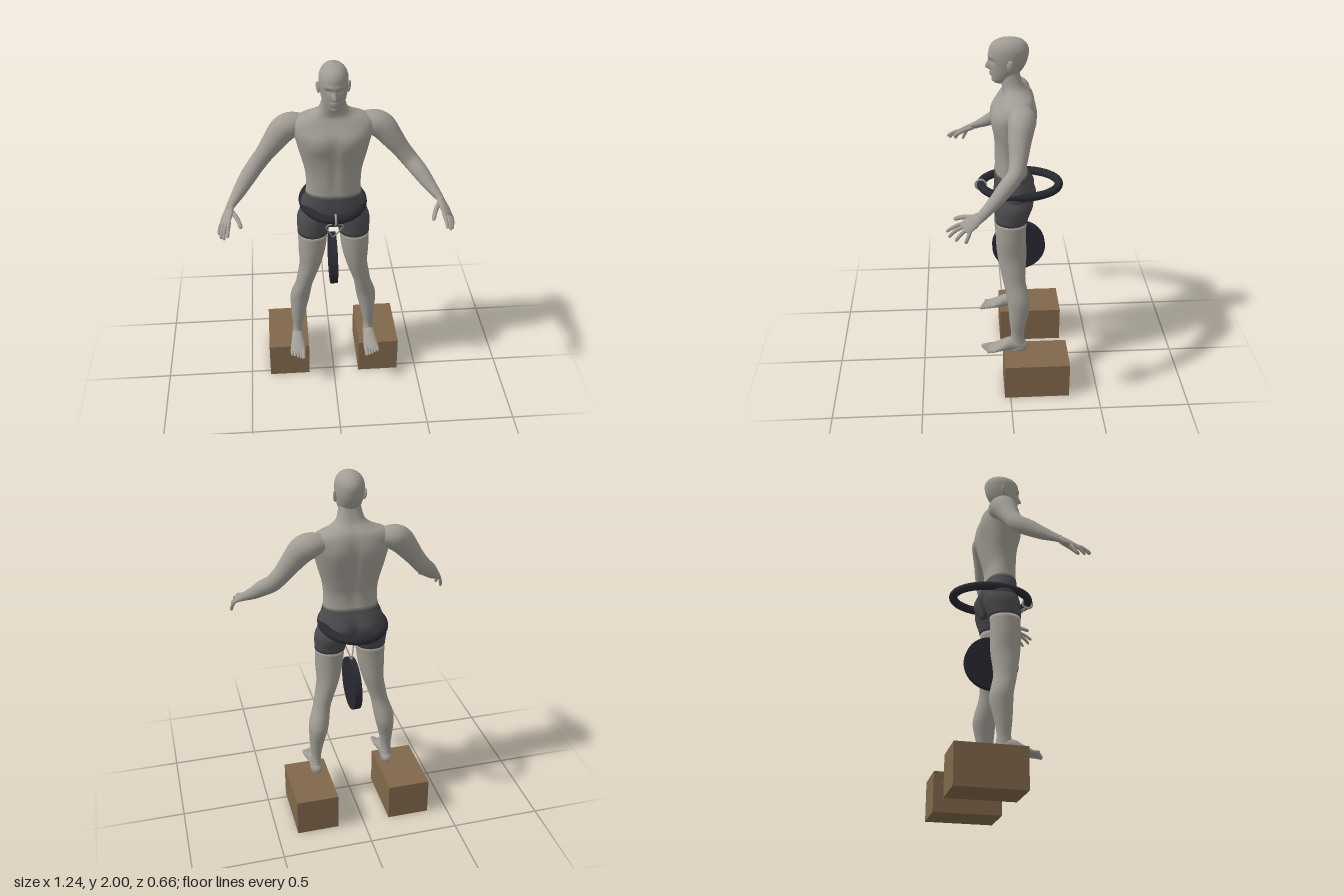
import * as THREE from 'three';

const mat = (name, color) => {
  const m = new THREE.MeshStandardMaterial({ color });
  m.name = name;
  return m;
};
const V = (x, y, z) => new THREE.Vector3(x, y, z);
const bump = (d, w) => Math.exp(-(d * d) / (w * w));

// Smooth closed loft through rows of [x, y, z, halfWidthA, halfWidthB].
// ref is the direction of B; axis fixes the ring plane (otherwise it follows the path).
function loft(rows, { ref = V(0, 0, 1), axis, from = 0, to = rows.length - 1, seg = 24, sub = 5, pow = 1, warp, grow = 0 } = {}) {
  const last = rows.length - 1;
  const sample = (t) => {
    const i = Math.min(Math.floor(t), last - 1), f = t - i;
    const [p, q, r, s] = [-1, 0, 1, 2].map((k) => rows[Math.min(last, Math.max(0, i + k))]);
    return q.map((_, k) => q[k] + 0.5 * f * (r[k] - p[k] + f * (2 * p[k] - 5 * q[k] + 4 * r[k] - s[k] + f * (3 * (q[k] - r[k]) + s[k] - p[k]))));
  };
  const round = (c) => Math.sign(c) * Math.abs(c) ** pow;
  const n = (to - from) * sub, pos = [], idx = [];
  for (let i = 0; i <= n; i++) {
    const t = from + i / sub, c = sample(t);
    const lo = sample(Math.max(0, t - 0.1)), hi = sample(Math.min(last, t + 0.1));
    const dir = axis || V(hi[0] - lo[0], hi[1] - lo[1], hi[2] - lo[2]).normalize();
    const side = ref.clone().cross(dir).normalize(), up = dir.clone().cross(side);
    for (let j = 0; j < seg; j++) {
      const a = (j / seg) * Math.PI * 2;
      const v = V(c[0], c[1], c[2])
        .addScaledVector(side, round(Math.cos(a)) * (c[3] + grow))
        .addScaledVector(up, round(Math.sin(a)) * (c[4] + grow));
      if (warp) warp(v);
      pos.push(v.x, v.y, v.z);
      if (i < n) {
        const p = i * seg + j, q = i * seg + ((j + 1) % seg);
        idx.push(p, q, p + seg, q, q + seg, p + seg);
      }
    }
  }
  // end caps
  const c0 = sample(from), c1 = sample(to), k = pos.length / 3;
  pos.push(c0[0], c0[1], c0[2], c1[0], c1[1], c1[2]);
  for (let j = 0; j < seg; j++) {
    const j2 = (j + 1) % seg;
    idx.push(k, j2, j, k + 1, n * seg + j, n * seg + j2);
  }
  const g = new THREE.BufferGeometry();
  g.setAttribute('position', new THREE.Float32BufferAttribute(pos, 3));
  g.setIndex(idx);
  g.computeVertexNormals();
  return g;
}

// Tapered digit with a rounded tip, from points and a radius
function digit(pts, r, s) {
  const c = new THREE.CatmullRomCurve3(pts.map((p) => V(p[0] * s, p[1], p[2])));
  const rows = [[0, 1], [0.35, 1], [0.65, 0.9], [0.88, 0.85], [0.97, 0.55], [1, 0.1]].map(([t, k]) => [...c.getPoint(t).toArray(), r * k, r * k]);
  return loft(rows, { ref: V(0, 1, 0.3).normalize(), seg: 10, sub: 3 });
}

const TORSO = [
  [0, 1.07, -0.035, 0.11, 0.08], [0, 1.12, -0.037, 0.17, 0.1], [0, 1.17, -0.038, 0.18, 0.106],
  [0, 1.22, -0.03, 0.166, 0.098], [0, 1.265, -0.022, 0.15, 0.087], [0, 1.35, -0.02, 0.147, 0.082],
  [0, 1.42, -0.025, 0.156, 0.09], [0, 1.5, -0.03, 0.178, 0.103], [0, 1.57, -0.034, 0.195, 0.112],
  [0, 1.62, -0.037, 0.208, 0.112], [0, 1.67, -0.047, 0.212, 0.094], [0, 1.7, -0.05, 0.175, 0.08],
  [0, 1.72, -0.045, 0.12, 0.069], [0, 1.75, -0.03, 0.077, 0.058], [0, 1.8, -0.016, 0.06, 0.053],
  [0, 1.84, -0.01, 0.055, 0.05],
];
const LEG = [
  [0.09, 1.16, -0.037, 0.08, 0.095], [0.105, 1.1, -0.032, 0.092, 0.1], [0.114, 1.01, -0.017, 0.082, 0.085],
  [0.121, 0.9, -0.015, 0.075, 0.083], [0.131, 0.8, -0.02, 0.061, 0.08], [0.155, 0.7, -0.026, 0.052, 0.067],
  [0.17, 0.64, -0.033, 0.049, 0.062], [0.189, 0.56, -0.052, 0.056, 0.062], [0.197, 0.5, -0.058, 0.053, 0.062],
  [0.207, 0.4, -0.05, 0.039, 0.047], [0.211, 0.32, -0.048, 0.028, 0.037], [0.212, 0.27, -0.046, 0.031, 0.046],
  [0.214, 0.235, -0.05, 0.034, 0.054], [0.214, 0.216, -0.05, 0.031, 0.05],
];
const ARM = [
  [0.14, 1.655, -0.065, 0.04, 0.05], [0.21, 1.645, -0.065, 0.064, 0.07], [0.26, 1.62, -0.056, 0.07, 0.067],
  [0.31, 1.56, -0.045, 0.06, 0.057], [0.36, 1.495, -0.036, 0.049, 0.047], [0.41, 1.435, -0.018, 0.046, 0.041],
  [0.455, 1.39, 0.03, 0.043, 0.041], [0.5, 1.34, 0.085, 0.034, 0.034], [0.545, 1.295, 0.145, 0.021, 0.026],
  [0.556, 1.282, 0.165, 0.018, 0.026],
];
const PALM = [
  [0.546, 1.294, 0.147, 0.016, 0.022], [0.556, 1.279, 0.175, 0.017, 0.031], [0.567, 1.261, 0.205, 0.015, 0.038],
  [0.577, 1.243, 0.235, 0.011, 0.037], [0.58, 1.238, 0.243, 0.005, 0.03],
];
const FINGERS = [
  [[0.553, 1.256, 0.243], [0.559, 1.24, 0.29], [0.562, 1.216, 0.327]],
  [[0.568, 1.248, 0.236], [0.579, 1.228, 0.285], [0.582, 1.196, 0.315]],
  [[0.581, 1.24, 0.224], [0.594, 1.216, 0.257], [0.598, 1.182, 0.283]],
  [[0.594, 1.232, 0.21], [0.606, 1.205, 0.222], [0.61, 1.174, 0.235]],
  [[0.54, 1.276, 0.175], [0.511, 1.268, 0.235], [0.492, 1.245, 0.29]],
];
const FOOT = [
  [0.212, 0.236, -0.105, 0.012, 0.012], [0.212, 0.242, -0.09, 0.026, 0.026], [0.213, 0.252, -0.05, 0.034, 0.036],
  [0.215, 0.257, 0, 0.036, 0.04], [0.216, 0.243, 0.05, 0.042, 0.027], [0.218, 0.231, 0.095, 0.045, 0.015],
  [0.22, 0.227, 0.118, 0.04, 0.009],
];
const HEAD = [
  [0, 1.763, 0.035, 0.02, 0.026], [0, 1.782, 0.025, 0.044, 0.05], [0, 1.82, 0.008, 0.061, 0.075],
  [0, 1.86, -0.003, 0.07, 0.091], [0, 1.9, -0.007, 0.075, 0.1], [0, 1.94, -0.009, 0.073, 0.101],
  [0, 1.97, -0.01, 0.06, 0.085], [0, 1.989, -0.012, 0.038, 0.056], [0, 2, -0.012, 0.006, 0.009],
];

// Muscle relief on front and back of the trunk
function torsoRelief(v) {
  const ax = Math.abs(v.x);
  if (v.z > 0) {
    v.z += 0.014 * bump(ax - 0.085, 0.07) * bump(v.y - 1.57, 0.06);
    v.z -= 0.006 * bump(ax, 0.015) * bump(v.y - 1.48, 0.17);
    v.z += 0.004 * bump(ax - 0.04, 0.03) * bump(v.y - 1.36, 0.09);
  } else if (v.z < -0.06) {
    v.z += 0.014 * bump(ax, 0.025) * bump(v.y - 1.5, 0.2);
    v.z -= 0.008 * bump(ax - 0.1, 0.05) * bump(v.y - 1.6, 0.08);
    v.z -= 0.012 * bump(ax - 0.075, 0.05) * bump(v.y - 1.15, 0.06);
    v.z += 0.014 * bump(ax, 0.016) * bump(v.y - 1.13, 0.07);
  }
}

// Brow, eye sockets, nose, lips and chin
function faceRelief(v) {
  if (v.z < 0.02) return;
  const ax = Math.abs(v.x), y = v.y;
  v.z += 0.006 * bump(y - 1.905, 0.012) * bump(ax - 0.025, 0.03)
    - 0.013 * bump(y - 1.885, 0.012) * bump(ax - 0.03, 0.016)
    + 0.005 * bump(y - 1.884, 0.006) * bump(ax - 0.03, 0.011)
    + 0.026 * bump(ax, 0.011) * bump(y - 1.846, y > 1.846 ? 0.032 : 0.009)
    + 0.008 * bump(ax, 0.02) * (bump(y - 1.821, 0.006) + bump(y - 1.808, 0.006))
    + 0.006 * bump(ax, 0.025) * bump(y - 1.778, 0.012);
}

export function createModel() {
  const skin = mat('skin', 0xa19d95), cloth = mat('shorts cloth', 0x4b4a4d), rubber = mat('dark rubber', 0x282831);
  const wood = mat('wood', 0x80674b), steel = mat('steel', 0x9a9a98);
  const model = new THREE.Group();
  const add = (name, geo, material, parent = model) => {
    const m = new THREE.Mesh(geo, material);
    m.name = name;
    parent.add(m);
    return m;
  };

  // Trunk and head
  const up = V(0, 1, 0), down = V(0, -1, 0);
  const trunk = { axis: up, seg: 64, pow: 0.88, warp: torsoRelief };
  add('torso', loft(TORSO, { ...trunk, from: 4 }), skin);
  add('shortsSeat', loft(TORSO, { ...trunk, to: 4, grow: 0.002 }), cloth);
  add('head', loft(HEAD, { axis: up, seg: 80, sub: 9, warp: faceRelief }), skin);

  for (const s of [1, -1]) {
    const side = s > 0 ? 'left' : 'right';
    const flip = (rows) => rows.map(([x, ...r]) => [x * s, ...r]);

    // Ear
    const ear = add(side + 'Ear', new THREE.SphereGeometry(1, 16, 12), skin);
    ear.scale.set(0.009, 0.031, 0.018);
    ear.position.set(s * 0.078, 1.872, -0.012);
    ear.rotation.set(-0.15, s * -0.3, s * -0.12);

    // Leg, trouser leg and foot
    add(side + 'Leg', loft(flip(LEG), { axis: down, from: 2, seg: 32 }), skin);
    add(side + 'ShortsLeg', loft(flip(LEG), { axis: down, to: 2, seg: 32, grow: 0.002 }), cloth);
    const foot = new THREE.Group();
    foot.name = side + 'Foot';
    model.add(foot);
    add('footBody', loft(flip(FOOT), { axis: V(0, 0, 1), ref: up }), skin, foot);
    for (let i = 0; i < 5; i++) {
      const x = 0.187 + i * 0.0165, z = 0.158 - i * 0.004 - i * i * 0.0015;
      add('toe', digit([[x, 0.231, 0.09], [x, 0.23, 0.12], [x, 0.222, z]], i ? 0.0085 : 0.013, s), skin, foot);
    }

    // Arm and hand
    add(side + 'Arm', loft(flip(ARM), { seg: 32 }), skin);
    const hand = new THREE.Group();
    hand.name = side + 'Hand';
    model.add(hand);
    add('palm', loft(flip(PALM), { ref: V(s * 0.65, -0.36, -0.65).normalize() }), skin, hand);
    FINGERS.forEach((f, i) => add(i < 4 ? 'finger' : 'thumb', digit(f, i < 4 ? 0.0098 : 0.0125, s), skin, hand));

    // Step block
    add(side + 'Block', new THREE.BoxGeometry(0.237, 0.215, 0.367), wood).position.set(s * 0.268, 0.1075, -0.15);

    // Cord from belt clip to hanging disc
    const cord = new THREE.CatmullRomCurve3([V(s * 0.008, 1.155, 0.14), V(s * 0.045, 1.1, 0.085), V(s * 0.03, 1.02, 0.015), V(0, 0.93, -0.06)]);
    add(side + 'Cord', new THREE.TubeGeometry(cord, 24, 0.004, 6), steel);
  }

  // Oval belt ring around the hips
  const oval = new THREE.CatmullRomCurve3(
    Array.from({ length: 24 }, (_, i) => V(0.164 * Math.sin((i * Math.PI) / 12), 1.177, -0.07 + 0.212 * Math.cos((i * Math.PI) / 12))), true);
  add('beltRing', new THREE.TubeGeometry(oval, 72, 0.023, 16, true), rubber);

  // Clip around the front of the ring
  const clip = add('beltClip', new THREE.TorusGeometry(0.028, 0.006, 10, 28), steel);
  clip.position.set(0, 1.177, 0.144);
  clip.rotation.y = Math.PI / 2;

  // Hanging weight disc
  const disc = add('weightDisc', new THREE.CylinderGeometry(0.149, 0.149, 0.04, 56), rubber);
  disc.rotation.z = Math.PI / 2;
  disc.position.set(0, 0.787, -0.065);
  return model;
}
